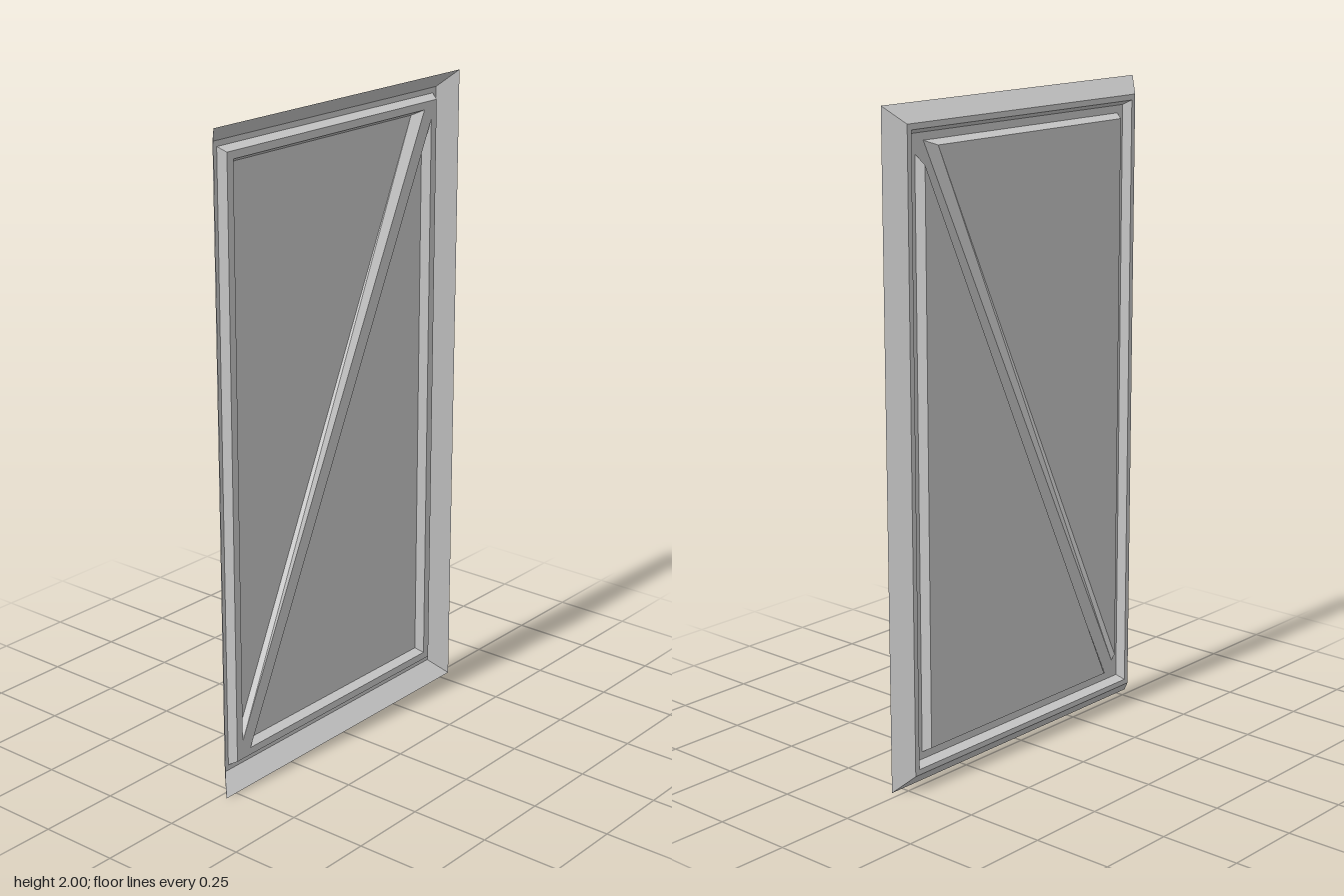
import * as THREE from 'three';

const BACK = -0.025, RIDGE = 0.0, RIM = 0.025; // depths of the pressed sheet

const material = new THREE.MeshStandardMaterial({ color: 0xcccccc, flatShading: true, side: THREE.DoubleSide });

// Outlines are counter-clockwise [u, y] corners, drawn flat and later turned to face +x
const rect = (w, inset) => [[-w, inset], [w, inset], [w, 2 - inset], [-w, 2 - inset]];
const halfTurn = (outline) => outline.map(([u, y]) => [-u, 2 - y]);

function addPart(group, name, geometry) {
  geometry.rotateY(Math.PI / 2);
  const mesh = new THREE.Mesh(geometry, material);
  mesh.name = name;
  group.add(mesh);
}

// Flat piece of sheet at one depth, with optional openings
function sheet(outline, depth, holes = []) {
  const points = (o) => o.map(([u, y]) => new THREE.Vector2(u, y));
  const shape = new THREE.Shape(points(outline));
  holes.forEach((h) => shape.holes.push(new THREE.Path(points(h))));
  return new THREE.ShapeGeometry(shape).translate(0, 0, depth);
}

// Sloping band between an outer and an inner outline
function slope(outer, outerDepth, inner, innerDepth) {
  const positions = [];
  outer.forEach((_, i) => {
    const j = (i + 1) % outer.length;
    const a = [...outer[i], outerDepth], b = [...outer[j], outerDepth];
    const c = [...inner[j], innerDepth], d = [...inner[i], innerDepth];
    positions.push(...a, ...b, ...c, ...a, ...c, ...d);
  });
  const geometry = new THREE.BufferGeometry();
  geometry.setAttribute('position', new THREE.Float32BufferAttribute(positions, 3));
  geometry.computeVertexNormals();
  return geometry;
}

export function createModel() {
  const group = new THREE.Group();
  group.name = 'bracedPanel';

  const rimOuter = rect(0.543, 0), rimInner = rect(0.494, 0.05);
  const ridgeFoot = rect(0.478, 0.067), ridgeTop = rect(0.465, 0.081);

  // Upper triangular recess; the lower one is its half turn
  const upperTop = [[-0.44, 1.896], [-0.44, 0.138], [0.406, 1.896]];
  const upperFloor = [[-0.426, 1.882], [-0.426, 0.167], [0.373, 1.882]];
  const recesses = [
    ['upper', upperTop, upperFloor],
    ['lower', halfTurn(upperTop), halfTurn(upperFloor)],
  ];

  // Slanted rim and the flat border inside it
  addPart(group, 'slantedRim', slope(rimOuter, RIM, rimInner, BACK));
  addPart(group, 'flatBorder', sheet(rimInner, BACK, [ridgeFoot]));

  // Raised frame with diagonal brace
  addPart(group, 'frameOuterSlope', slope(ridgeFoot, BACK, ridgeTop, RIDGE));
  addPart(group, 'frameAndDiagonalBrace', sheet(ridgeTop, RIDGE, recesses.map((r) => r[1])));

  // Recessed triangular panels
  for (const [name, top, floor] of recesses) {
    addPart(group, name + 'RecessSlope', slope(top, RIDGE, floor, BACK));
    addPart(group, name + 'RecessPanel', sheet(floor, BACK));
  }
  return group;
}
